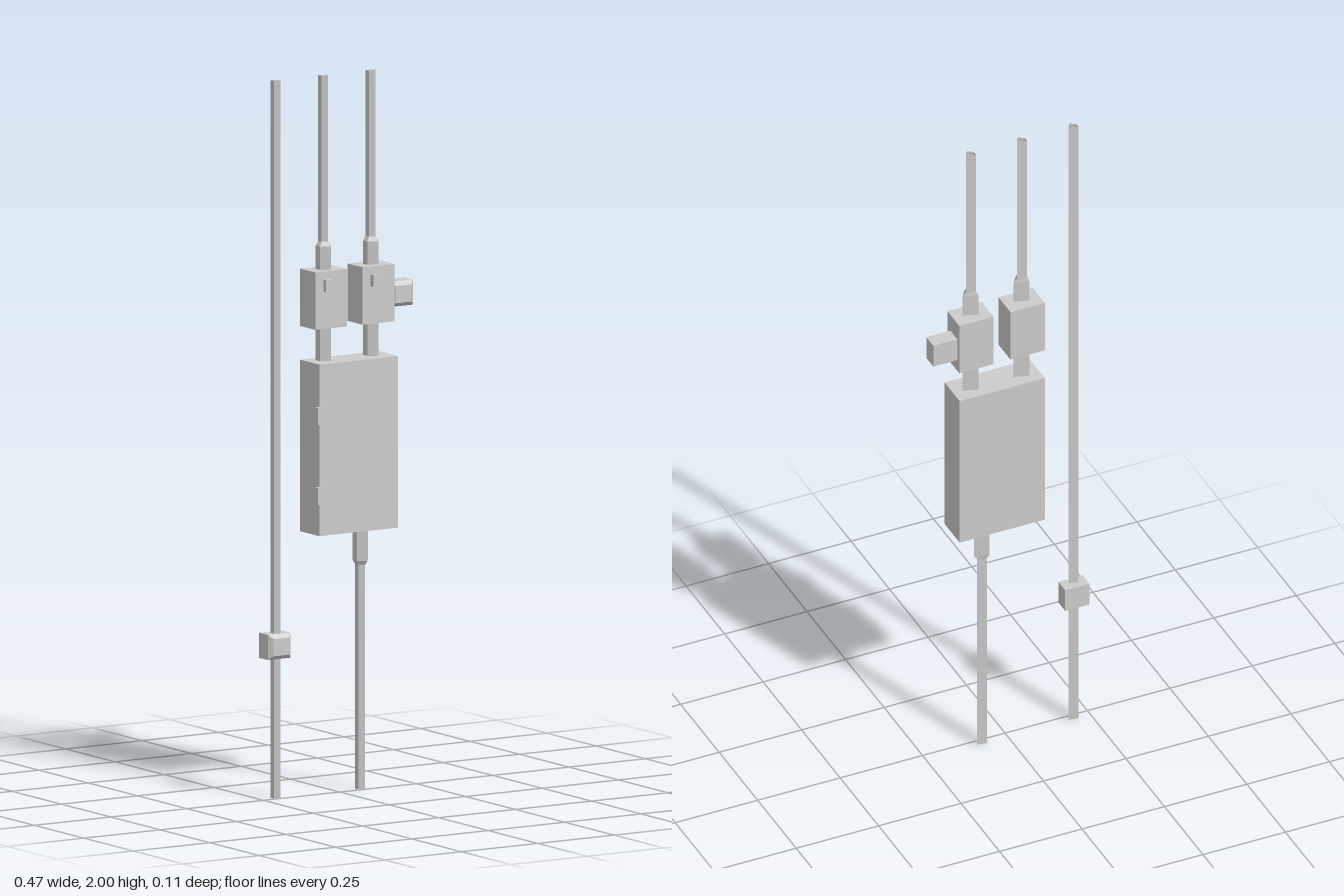
import * as THREE from 'three';

const material = new THREE.MeshStandardMaterial({ color: 0xcccccc, flatShading: true, side: THREE.DoubleSide });

// Skin a stack of four-cornered rings, optionally closing both ends
function loft(rings, capped) {
  const pos = [];
  const quad = (a, b, c, d) => [a, b, c, a, c, d].forEach((p) => pos.push(...p));
  for (let r = 0; r < rings.length - 1; r++) {
    for (let i = 0; i < 4; i++) {
      const j = (i + 1) % 4;
      quad(rings[r][i], rings[r][j], rings[r + 1][j], rings[r + 1][i]);
    }
  }
  if (capped) {
    quad(...[...rings[0]].reverse());
    quad(...rings[rings.length - 1]);
  }
  const geometry = new THREE.BufferGeometry();
  geometry.setAttribute('position', new THREE.Float32BufferAttribute(pos, 3));
  geometry.computeVertexNormals();
  return geometry;
}

// Irregular conduit cross-sections as [x, z]
const pipe = [[-0.056, -0.023], [-0.054, -0.009], [-0.038, 0], [-0.029, -0.016]];
const collar = [[-0.062, -0.027], [-0.061, -0.006], [-0.036, 0.009], [-0.02, -0.014]];

export function createModel() {
  const group = new THREE.Group();

  function add(name, geometry) {
    const mesh = new THREE.Mesh(geometry, material);
    mesh.name = name;
    group.add(mesh);
    return mesh;
  }

  // Box given by its limits on each axis
  function box(name, x0, x1, y0, y1, z0, z1) {
    add(name, new THREE.BoxGeometry(x1 - x0, y1 - y0, z1 - z0))
      .position.set((x0 + x1) / 2, (y0 + y1) / 2, (z0 + z1) / 2);
  }

  // Vertical conduit: list of [height, cross-section] from bottom to top
  function conduit(name, x, levels) {
    add(name, loft(levels.map(([y, section]) => section.map(([px, pz]) => [px, y, pz])), false)).position.x = x;
  }

  // Small box with a chamfered front
  function chamferedBox(name, x, y) {
    const ring = (w, h, z) => [[-w, -h, z], [w, -h, z], [w, h, z], [-w, h, z]];
    add(name, loft([ring(0.037, 0.035, -0.042), ring(0.037, 0.035, 0.003), ring(0.026, 0.024, 0.014)], true))
      .position.set(x, y, 0);
  }

  // Main cabinet with two hinges on its edge
  box('cabinet', -0.095, 0.163, 0.728, 1.206, -0.055, 0.043);
  for (const y of [0.841, 1.064]) box('hinge', -0.105, -0.084, y - 0.024, y + 0.024, 0.036, 0.052);

  // Two upper boxes, each with a switch and a conduit running through it
  for (const x of [0, 0.155]) {
    box('upperBox', -0.095 + x, 0.009 + x, 1.3, 1.46, -0.055, 0.023);
    box('switch', -0.069 + x, -0.048 + x, 1.405, 1.438, 0.023, 0.037);
    conduit('upperConduit', x, [[1.206, collar], [1.525, collar], [1.538, pipe], [2, pipe]]);
  }

  // Conduit leaving the cabinet downwards
  conduit('lowerConduit', 0.121, [[0, pipe], [0.626, pipe], [0.638, collar], [0.728, collar]]);

  // Separate full-height conduit, and the junction boxes
  conduit('sideConduit', -0.156, [[0, pipe], [2, pipe]]);
  chamferedBox('conduitJunctionBox', -0.2, 0.425);
  chamferedBox('sideJunctionBox', 0.2, 1.372);

  return group;
}
